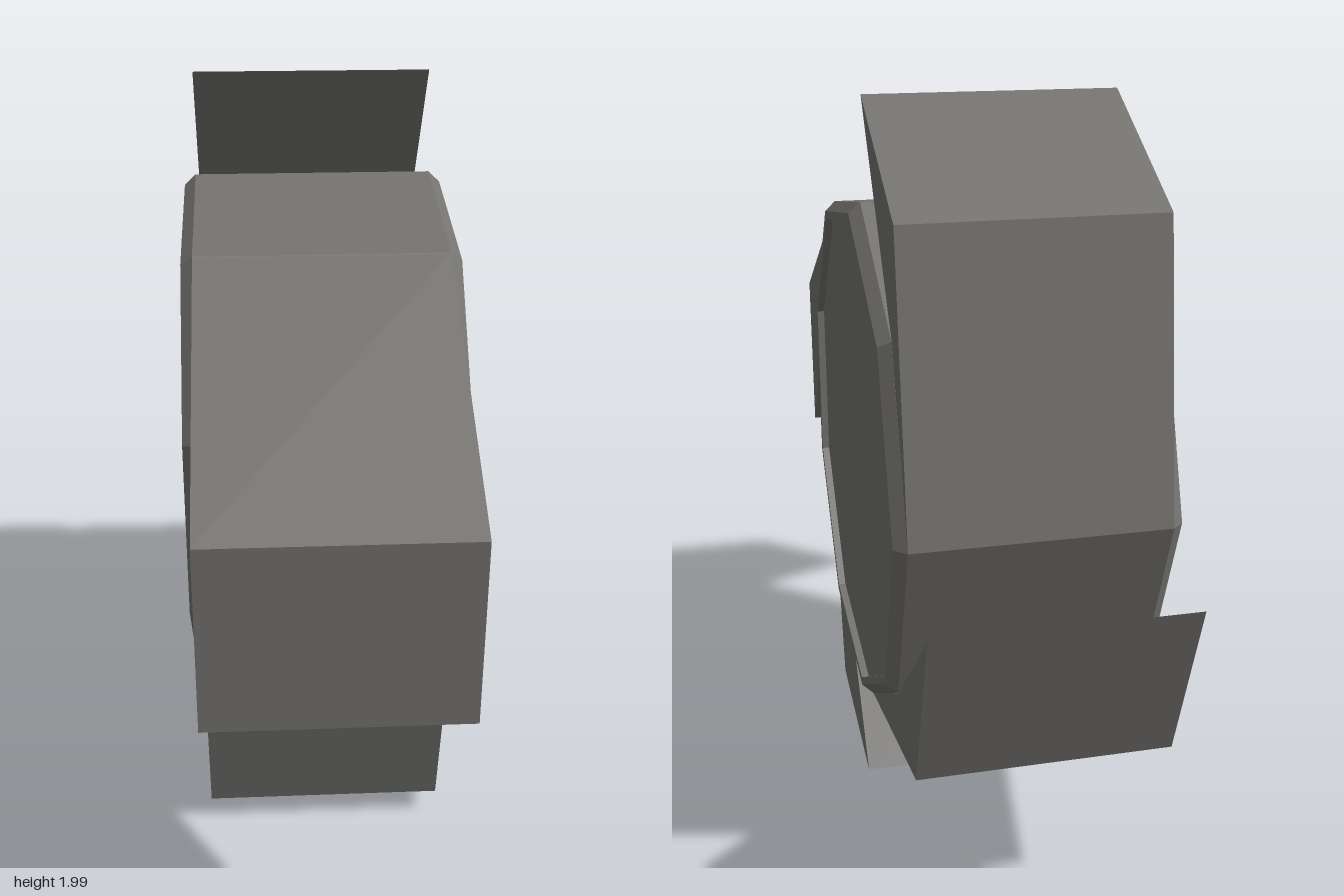
import * as THREE from 'three';

export function createModel() {
  const model = new THREE.Group();
  const material = new THREE.MeshStandardMaterial({ color: 0x747370, flatShading: true });

  // Nine-sided drum with chamfered, flat-topped rims around shallow recessed end faces
  const half = [[0, 0.33], [0.655, 0.33], [0.655, 0.35], [0.677, 0.35], [0.705, 0.32]];
  const profile = [
    ...half.map(([r, h]) => new THREE.Vector2(r, -h)),
    ...half.slice().reverse().map(([r, h]) => new THREE.Vector2(r, h)),
  ];
  const drum = new THREE.Mesh(new THREE.LatheGeometry(profile, 9, Math.PI), material);
  drum.name = 'drum';
  drum.rotation.z = Math.PI / 2;
  drum.position.set(0, 1.03, -0.08);
  model.add(drum);

  // Four swept teeth, each a side outline in (z, y) extruded across the width
  const width = 0.64;
  const teeth = {
    frontTooth: [[0.27, 1.64], [1, 1.23], [0.99, 0.75], [0.58, 1.27]],
    topTooth: [[-0.785, 1.03], [-0.675, 1.76], [-0.255, 1.99], [-0.62, 1.49]],
    backTooth: [[-0.2, 0.336], [-0.845, 0.47], [-1, 0.92], [-0.62, 0.575]],
    bottomTooth: [[0.58, 0.79], [0.4, 0.075], [-0.075, 0], [0.27, 0.42]],
  };
  for (const [name, outline] of Object.entries(teeth)) {
    const shape = new THREE.Shape(outline.map(([z, y]) => new THREE.Vector2(z, y)));
    const geometry = new THREE.ExtrudeGeometry(shape, { depth: width, bevelEnabled: false });
    geometry.translate(0, 0, -width / 2);
    geometry.rotateY(-Math.PI / 2);
    const tooth = new THREE.Mesh(geometry, material);
    tooth.name = name;
    model.add(tooth);
  }
  return model;
}
